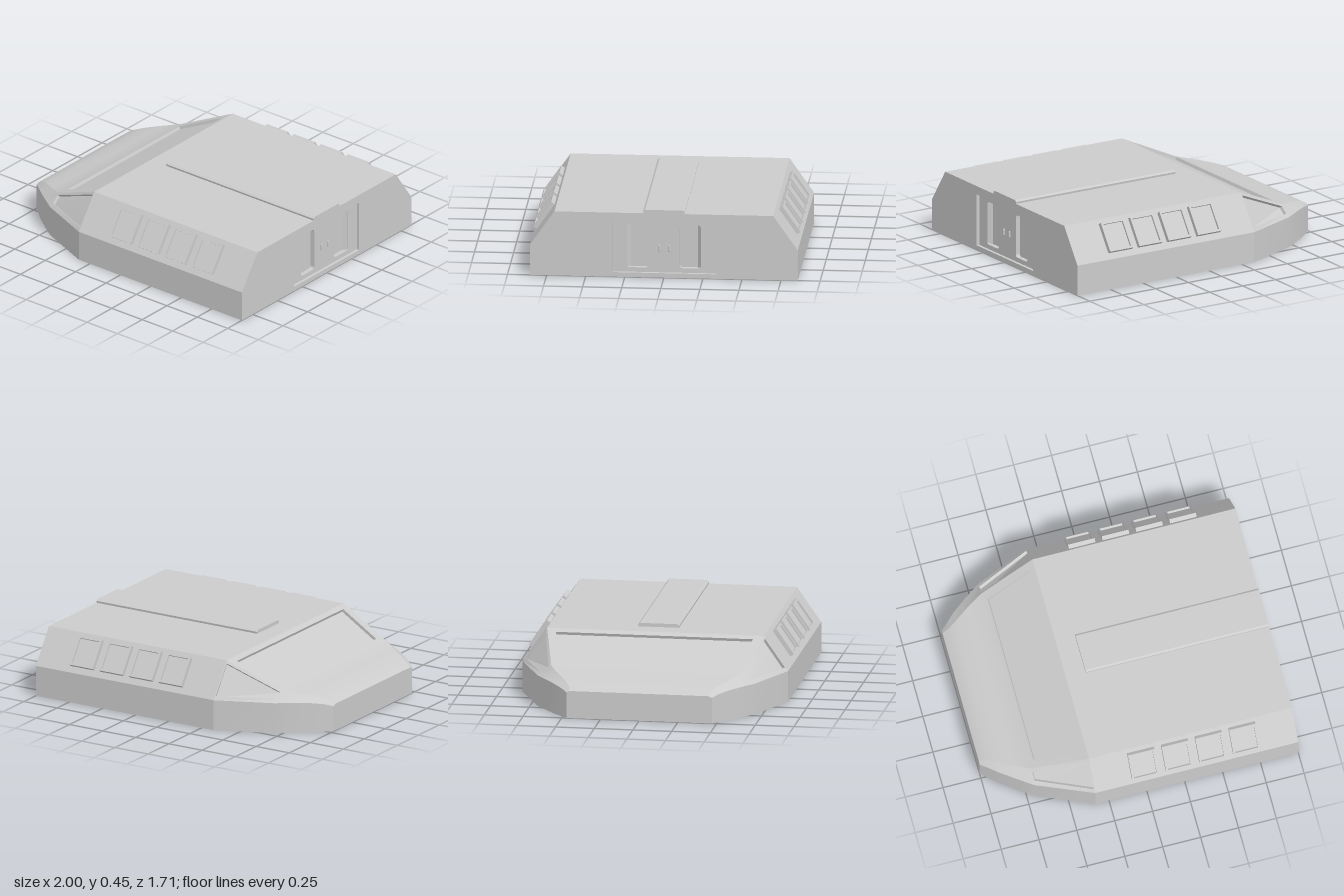
import * as THREE from 'three';
import { toCreasedNormals } from 'three/addons/utils/BufferGeometryUtils.js';

const grey = new THREE.MeshStandardMaterial({ color: 0xcccccc });
const V = (x, y, z) => new THREE.Vector3(x, y, z);

function mesh(name, geometry, parent) {
  const m = new THREE.Mesh(geometry, grey);
  m.name = name;
  parent.add(m);
  return m;
}

// Rectangle with optionally rounded corners, as a Shape or a hole
function rect(x0, y0, x1, y1, r = 0, Type = THREE.Shape) {
  const s = new Type();
  s.moveTo(x0 + r, y0);
  s.lineTo(x1 - r, y0);
  if (r) s.quadraticCurveTo(x1, y0, x1, y0 + r);
  s.lineTo(x1, y1 - r);
  if (r) s.quadraticCurveTo(x1, y1, x1 - r, y1);
  s.lineTo(x0 + r, y1);
  if (r) s.quadraticCurveTo(x0, y1, x0, y1 - r);
  s.lineTo(x0, y0 + r);
  if (r) s.quadraticCurveTo(x0, y0, x0 + r, y0);
  return s;
}

const extrude = (shape, depth) =>
  new THREE.ExtrudeGeometry(shape, { depth, bevelEnabled: false, curveSegments: 6 });

// Hull stations: x, half width, shoulder height, roof half width, roof height
const stations = [
  [-1, 0.47, 0.168, 0.45, 0.178],
  [-0.96, 0.505, 0.183, 0.46, 0.202],
  [-0.9, 0.56, 0.195, 0.495, 0.223],
  [-0.8, 0.635, 0.2, 0.56, 0.245],
  [-0.7, 0.705, 0.2, 0.615, 0.267],
  [-0.34, 0.857, 0.2, 0.7, 0.425],
  [0.96, 0.857, 0.2, 0.7, 0.425],
];
const ringAt = ([x, W, yb, w, yt]) => [
  V(x, 0, W), V(x, yb, W), V(x, yt, w), V(x, yt, -w), V(x, yb, -W), V(x, 0, -W),
];

function hullGeometry() {
  const pos = [];
  const tri = (...ps) => ps.forEach((p) => pos.push(p.x, p.y, p.z));
  const quad = (a, b, c, d) => { tri(a, b, c); tri(a, c, d); };

  // Quad with a sunken window; inner corners are given in the quad's own u, v
  function recess(a, b, c, d, uvs, depth) {
    const at = ([u, v]) => a.clone().lerp(b, u).lerp(d.clone().lerp(c, u), v);
    const normal = c.clone().sub(a).cross(d.clone().sub(b)).normalize();
    const outer = [a, b, c, d];
    const inner = uvs.map(at);
    const floor = inner.map((p) => p.clone().addScaledVector(normal, -depth));
    for (let i = 0; i < 4; i++) {
      const k = (i + 1) % 4;
      quad(outer[i], outer[k], inner[k], inner[i]);
      quad(inner[i], inner[k], floor[k], floor[i]);
    }
    quad(...floor);
  }

  const sideWindow = [[0.01, 0.28], [0.985, 0.11], [0.985, 0.93], [0.01, 0.82]];
  const windows = {
    1: sideWindow,
    2: [[0.083, 0.046], [0.9, 0.04], [0.9, 0.96], [0.083, 0.954]],
    3: [3, 2, 1, 0].map((i) => [sideWindow[i][0], 1 - sideWindow[i][1]]),
  };
  const rings = stations.map(ringAt);
  for (let i = 0; i < rings.length - 1; i++) {
    for (let j = 0; j < 6; j++) {
      const k = (j + 1) % 6;
      const q = [rings[i][j], rings[i + 1][j], rings[i + 1][k], rings[i][k]];
      if (i === 4 && windows[j]) recess(...q, windows[j], 0.02);
      else quad(...q);
    }
  }
  // Blunt nose
  for (let j = 1; j < 5; j++) tri(rings[0][0], rings[0][j], rings[0][j + 1]);

  const g = new THREE.BufferGeometry();
  g.setAttribute('position', new THREE.Float32BufferAttribute(pos, 3));
  return toCreasedNormals(g, 0.32);
}

// Raised frame with a sunken pane, facing local +z
function framedWindow() {
  const g = new THREE.Group();
  g.name = 'sideWindow';
  const frame = rect(-0.088, -0.1, 0.088, 0.1);
  frame.holes.push(rect(-0.074, -0.086, 0.074, 0.086, 0, THREE.Path));
  mesh('windowFrame', extrude(frame, 0.028), g);
  mesh('windowPane', new THREE.BoxGeometry(0.15, 0.174, 0.014), g).position.z = 0.007;
  return g;
}

// Rear wall and double door, drawn in a plane and turned to face +x
function rearWall() {
  const g = new THREE.Group();
  g.name = 'rearWall';
  g.rotation.y = Math.PI / 2;

  const outline = ringAt(stations[6]).map((p) => new THREE.Vector2(p.z, p.y));
  const wall = new THREE.Shape(outline);
  wall.holes.push(rect(-0.33, 0.03, 0.33, 0.37, 0, THREE.Path));
  mesh('rearPlate', extrude(wall, 0.04), g).position.z = 0.96;

  const door = rect(-0.34, 0.02, 0.34, 0.38);
  for (const s of [-1, 1]) {
    const mid = s * 0.168;
    door.holes.push(rect(mid - 0.068, 0.06, mid + 0.068, 0.345, 0.02, THREE.Path));
  }
  mesh('doorPanel', extrude(door, 0.035), g).position.z = 0.945;

  for (const s of [-1, 1]) {
    // Pane with a slanted outer jamb
    const profile = [[0.09, 0.93], [0.09, 0.95], [0.215, 0.95], [0.236, 0.977], [0.236, 0.93]];
    const shape = new THREE.Shape(profile.map(([a, b]) => new THREE.Vector2(s * a, -b)));
    const pane = mesh('doorPane', extrude(shape, 0.285), g);
    pane.rotation.x = -Math.PI / 2;
    pane.position.y = 0.06;
    const handle = mesh('doorHandle', new THREE.CapsuleGeometry(0.007, 0.032, 4, 8), g);
    handle.position.set(s * 0.032, 0.192, 0.985);
  }
  return g;
}

export function createModel() {
  const model = new THREE.Group();
  model.name = 'vehicleBody';
  mesh('hull', hullGeometry(), model);
  model.add(rearWall());

  // Four framed windows on each slanted flank
  const tilt = Math.atan2(0.157, 0.225);
  for (const s of [1, -1]) {
    const flank = new THREE.Group();
    flank.name = s > 0 ? 'frontFlankWindows' : 'backFlankWindows';
    if (s < 0) flank.rotation.y = Math.PI;
    for (const x of [-0.006, 0.217, 0.439, 0.662]) {
      const w = framedWindow();
      w.position.set(s * x, 0.317, 0.775);
      w.rotation.x = -tilt;
      flank.add(w);
    }
    model.add(flank);
  }

  // Long roof rail with softened long edges
  const rail = new THREE.Shape([
    [-0.13, 0.42], [0.13, 0.42], [0.133, 0.438], [0.12, 0.448], [-0.12, 0.448], [-0.133, 0.438],
  ].map(([z, y]) => new THREE.Vector2(z, y)));
  const roofRail = mesh('roofRail', extrude(rail, 1.21), model);
  roofRail.rotation.y = Math.PI / 2;
  roofRail.position.x = -0.21;

  return model;
}
